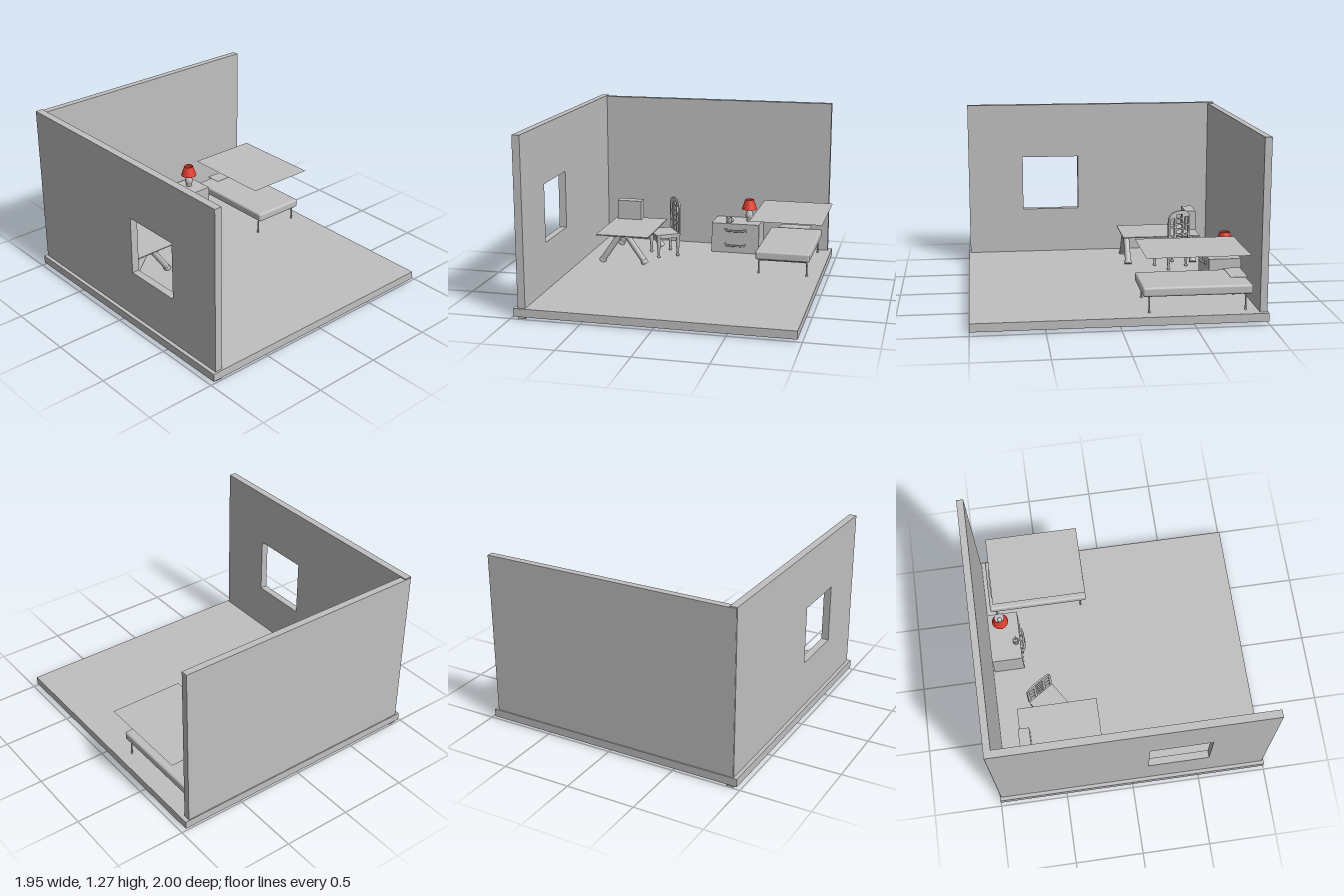
import * as THREE from 'three';
import { RoundedBoxGeometry } from 'three/addons/geometries/RoundedBoxGeometry.js';

export function createModel() {
  const grey = new THREE.MeshStandardMaterial({ color: 0xc0c0c0, side: THREE.DoubleSide });
  grey.name = 'plain grey';
  const red = new THREE.MeshStandardMaterial({ color: 0xe03c2c, side: THREE.DoubleSide });
  red.name = 'lampshade red';
  const FLOOR = 0.075;

  const V = (x, y, z) => new THREE.Vector3(x, y, z);
  const room = new THREE.Group();
  room.name = 'bedroom';

  function group(name, parent = room) {
    const g = new THREE.Group();
    g.name = name;
    parent.add(g);
    return g;
  }
  function add(name, geo, parent = room, mat = grey) {
    const m = new THREE.Mesh(geo, mat);
    m.name = name;
    parent.add(m);
    return m;
  }
  // box given by its minimum and maximum corners
  function box(name, x0, x1, y0, y1, z0, z1, parent) {
    const g = new THREE.BoxGeometry(x1 - x0, y1 - y0, z1 - z0);
    g.translate((x0 + x1) / 2, (y0 + y1) / 2, (z0 + z1) / 2);
    return add(name, g, parent);
  }
  // tapered rod between two points
  function rod(name, a, b, ra, rb, parent, sides = 16) {
    const m = add(name, new THREE.CylinderGeometry(rb, ra, a.distanceTo(b), sides), parent);
    m.position.copy(a).lerp(b, 0.5);
    m.quaternion.setFromUnitVectors(V(0, 1, 0), b.clone().sub(a).normalize());
    return m;
  }
  function rect(path, x0, x1, y0, y1) {
    path.moveTo(x0, y0);
    path.lineTo(x1, y0);
    path.lineTo(x1, y1);
    path.lineTo(x0, y1);
    path.closePath();
    return path;
  }
  const lathe = (pts, n = 24) => new THREE.LatheGeometry(pts.map(p => new THREE.Vector2(...p)), n);

  // Floor and walls
  box('floor', -0.977, 0.968, 0.017, FLOOR, -1, 1);
  box('backWall', -0.946, 0.938, 0.014, 1.262, -0.993, -0.943);
  const wall = rect(new THREE.Shape(), -0.987, 0.99, 0, 1.27);
  wall.holes.push(rect(new THREE.Path(), -0.556, -0.113, 0.425, 0.85));
  const wallGeo = new THREE.ExtrudeGeometry(wall, { depth: 0.054, bevelEnabled: false });
  wallGeo.rotateY(Math.PI / 2);
  add('windowWall', wallGeo).position.x = -0.95;

  // Desk with splayed round legs and a box on top
  const desk = group('desk');
  box('deskTop', -0.767, -0.352, 0.292, 0.299, -0.787, -0.187, desk);
  box('deskBox', -0.746, -0.55, 0.299, 0.452, -0.79, -0.708, desk);
  for (const z of [-0.23, -0.74]) {
    for (const s of [-1, 1]) {
      const top = V(-0.558 + s * 0.035, 0.285, z);
      const foot = V(-0.558 + s * 0.17, 0.09, z);
      rod('deskLeg', foot, top, 0.023, 0.023, desk);
      rod('deskFoot', V(foot.x + s * 0.003, FLOOR + 0.006, z), foot.clone().lerp(top, 0.09), 0.028, 0.025, desk);
    }
    box('deskLegBracket', -0.605, -0.51, 0.278, 0.293, z - 0.026, z + 0.026, desk);
  }

  // Chair, turned towards the desk
  const chair = group('chair');
  chair.position.set(-0.236, 0, -0.6);
  chair.rotation.y = -0.995;
  box('chairSeat', -0.111, 0.111, 0.246, 0.26, -0.005, 0.193, chair);
  for (const x of [-0.097, 0.097]) box('chairSideRail', x - 0.007, x + 0.007, 0.226, 0.246, 0.01, 0.178, chair);
  for (const z of [0.01, 0.178]) box('chairCrossRail', -0.097, 0.097, 0.226, 0.246, z - 0.007, z + 0.007, chair);
  // arched back pierced by three columns of openings
  const back = new THREE.Shape();
  back.moveTo(-0.111, 0.25);
  back.lineTo(0.111, 0.25);
  back.lineTo(0.111, 0.455);
  back.bezierCurveTo(0.108, 0.505, 0.075, 0.526, 0, 0.526);
  back.bezierCurveTo(-0.075, 0.526, -0.108, 0.505, -0.111, 0.455);
  back.closePath();
  for (let i = 0; i < 6; i++) {
    const y = 0.268 + i * 0.04;
    back.holes.push(rect(new THREE.Path(), -0.032, 0.032, y, y + 0.028));
  }
  for (const s of [-1, 1]) {
    for (let i = 0; i < 3; i++) {
      const y = 0.268 + i * 0.072;
      const a = s * 0.071, w = 0.022;
      back.holes.push(rect(new THREE.Path(), a - w, a + w, y, y + 0.06));
    }
  }
  const backGeo = new THREE.ExtrudeGeometry(back, { depth: 0.013, bevelEnabled: false, curveSegments: 10 });
  add('chairBack', backGeo, chair).position.z = -0.006;
  // turned legs
  const legProfile = [[0, 0], [0.011, 0], [0.013, 0.01], [0.008, 0.02], [0.011, 0.06],
    [0.017, 0.125], [0.012, 0.135], [0.017, 0.145], [0.017, 0.172]];
  for (const x of [-0.092, 0.092]) {
    for (const z of [0.014, 0.172]) {
      add('chairLeg', lathe(legProfile, 14), chair).position.set(x, FLOOR, z);
    }
  }

  // Nightstand with two bow handles
  const stand = group('nightstand');
  box('cabinet', 0.037, 0.418, FLOOR, 0.312, -0.93, -0.7, stand);
  for (const y of [0.258, 0.137]) {
    const bow = new THREE.CatmullRomCurve3([
      V(0.15, y, -0.7), V(0.168, y, -0.685), V(0.2, y, -0.677),
      V(0.228, y, -0.676), V(0.256, y, -0.677), V(0.288, y, -0.685), V(0.306, y, -0.7)]);
    add('handle', new THREE.TubeGeometry(bow, 24, 0.008, 8), stand);
    for (const x of [0.152, 0.304]) {
      box('handleEnd', x - 0.014, x + 0.014, y - 0.012, y + 0.012, -0.702, -0.69, stand);
    }
  }

  // Mug
  const mug = group('mug');
  mug.position.set(0.172, 0.312, -0.733);
  add('mugCup', lathe([[0, 0], [0.021, 0], [0.021, 0.044], [0.018, 0.044], [0.018, 0.004], [0, 0.004]]), mug);
  add('mugHandle', new THREE.TorusGeometry(0.011, 0.003, 8, 16), mug).position.set(0.022, 0.022, 0);

  // Lamp
  const lamp = group('lamp');
  lamp.position.set(0.317, 0.312, -0.83);
  add('lampBase', lathe([[0, 0], [0.024, 0], [0.024, 0.006], [0.019, 0.011], [0.027, 0.028], [0.031, 0.045],
    [0.028, 0.062], [0.018, 0.085], [0.013, 0.1], [0.012, 0.13], [0, 0.13]]), lamp);
  add('lampBulb', new THREE.SphereGeometry(0.018, 16, 12), lamp).position.y = 0.142;
  add('lampShade', new THREE.CylinderGeometry(0.035, 0.061, 0.077, 32, 1, true), lamp, red).position.y = 0.137;

  // Bed on thin bent legs, with a pillow sheet and a floating cover
  const bed = group('bed');
  const mattress = add('mattress', new RoundedBoxGeometry(0.408, 0.066, 0.75, 4, 0.016), bed);
  mattress.position.set(0.688, 0.223, -0.53);
  for (const z of [-0.2, -0.86]) {
    const frame = new THREE.CurvePath();
    const xl = 0.505, xr = 0.868, r = 0.022, y = 0.181;
    frame.add(new THREE.LineCurve3(V(xl, FLOOR, z), V(xl, y - r, z)));
    frame.add(new THREE.QuadraticBezierCurve3(V(xl, y - r, z), V(xl, y, z), V(xl + r, y, z)));
    frame.add(new THREE.LineCurve3(V(xl + r, y, z), V(xr - r, y, z)));
    frame.add(new THREE.QuadraticBezierCurve3(V(xr - r, y, z), V(xr, y, z), V(xr, y - r, z)));
    frame.add(new THREE.LineCurve3(V(xr, y - r, z), V(xr, FLOOR, z)));
    add('bedLegs', new THREE.TubeGeometry(frame, 80, 0.006, 8), bed);
    for (const x of [xl, xr]) rod('bedFoot', V(x, FLOOR, z), V(x, FLOOR + 0.012, z), 0.008, 0.008, bed, 10);
  }
  box('pillowSheet', 0.57, 0.812, 0.285, 0.288, -0.885, -0.767, bed);
  const cover = new THREE.PlaneGeometry(0.543, 0.704);
  cover.rotateX(-Math.PI / 2);
  add('bedCover', cover, bed).position.set(0.7055, 0.48, -0.515);

  return room;
}
